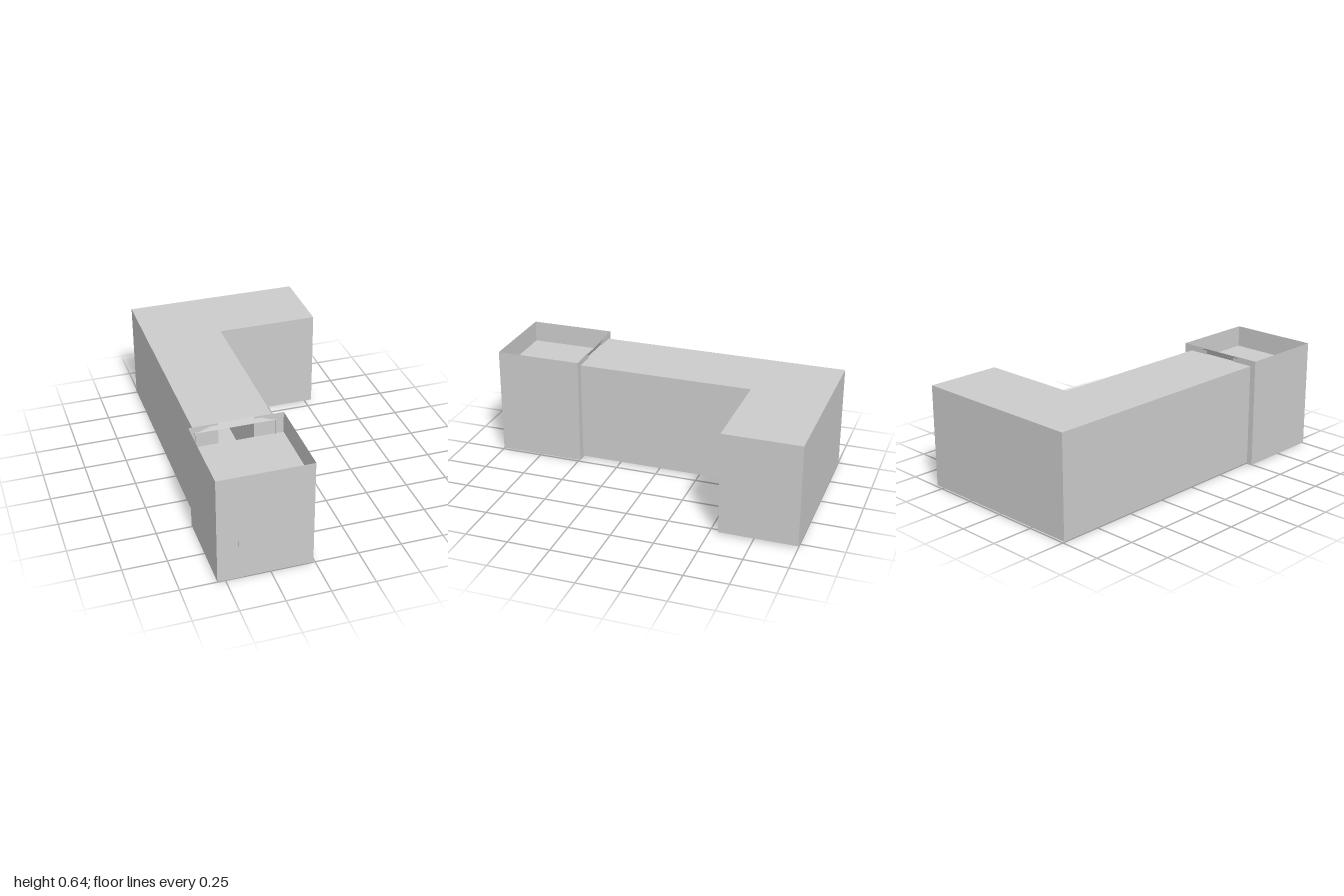
import * as THREE from 'three';

const material = new THREE.MeshStandardMaterial({
  color: 0xcccccc, flatShading: true, side: THREE.DoubleSide,
});

function add(group, name, geometry) {
  const mesh = new THREE.Mesh(geometry, material);
  mesh.name = name;
  group.add(mesh);
  return mesh;
}

// Thin upright walls following a plan path of [x, z] points
function wallsAlong(path, bottom, top) {
  const positions = [];
  for (let i = 0; i < path.length - 1; i++) {
    const [ax, az] = path[i], [bx, bz] = path[i + 1];
    positions.push(
      ax, bottom, az, bx, bottom, bz, bx, top, bz,
      ax, bottom, az, bx, top, bz, ax, top, az);
  }
  const geometry = new THREE.BufferGeometry();
  geometry.setAttribute('position', new THREE.Float32BufferAttribute(positions, 3));
  geometry.computeVertexNormals();
  return geometry;
}

// Flat slab surface filling a plan outline at height y, facing up or down
function deck(path, y, faceUp = true) {
  const side = faceUp ? -1 : 1;
  const shape = new THREE.Shape(path.map(([x, z]) => new THREE.Vector2(x, side * z)));
  return new THREE.ShapeGeometry(shape).rotateX(side * Math.PI / 2).translate(0, y, 0);
}

function polygon(points) {
  return new THREE.ShapeGeometry(new THREE.Shape(points.map(([x, y]) => new THREE.Vector2(x, y))));
}

export function createModel() {
  const model = new THREE.Group();
  model.name = 'building';

  // L-shaped hall, open where it joins the entrance block
  const hall = new THREE.Group();
  hall.name = 'hall';
  const hallPlan = [
    [-0.06, 0.5], [-0.06, -0.55], [0.54, -0.55], [0.54, -1], [-0.51, -1], [-0.51, 0.5],
  ];
  add(hall, 'hallWalls', wallsAlong(hallPlan, 0.01, 0.61));
  add(hall, 'hallRoof', deck(hallPlan, 0.61));
  add(hall, 'hallFloor', deck(hallPlan, 0.01, false));
  model.add(hall);

  // Entrance block with a parapet around its sunken roof
  const block = new THREE.Group();
  block.name = 'entranceBlock';
  const left = -0.545, right = -0.01, back = 0.49, front = 1, base = 0.003, rim = 0.645;
  const blockPlan = [[left, back], [left, front], [right, front], [right, back]];
  add(block, 'blockWalls', wallsAlong(blockPlan, base, rim));
  add(block, 'sunkenRoof', deck(blockPlan, 0.517));
  add(block, 'blockFloor', deck(blockPlan, base, false));

  // Rear wall with a full-height passage into the hall
  add(block, 'rearWall', polygon([
    [left, base], [-0.38, base], [-0.38, rim], [left, rim],
  ])).position.z = back;
  add(block, 'rearWall', polygon([
    [-0.18, base], [right, base], [right, rim], [-0.18, rim],
  ])).position.z = back;

  // Leaning trapezoid flap over the passage
  const flap = polygon([[-0.51, 0.61], [-0.06, 0.61], [-0.18, rim], [-0.38, rim]]);
  const p = flap.attributes.position;
  for (let i = 0; i < p.count; i++) p.setZ(i, p.getY(i) > 0.62 ? 0.485 : 0.5);
  flap.computeVertexNormals();
  add(block, 'passageFlap', flap);

  // Narrow upright strip on the front and the thin plate below the corner
  add(block, 'frontStrip', new THREE.BoxGeometry(0.007, 0.235, 0.004))
    .position.set(-0.425, 0.133, 0.999);
  add(block, 'cornerPlate', new THREE.BoxGeometry(0.11, 0.003, 0.12))
    .position.set(-0.455, 0.0015, 0.94);
  model.add(block);

  return model;
}
